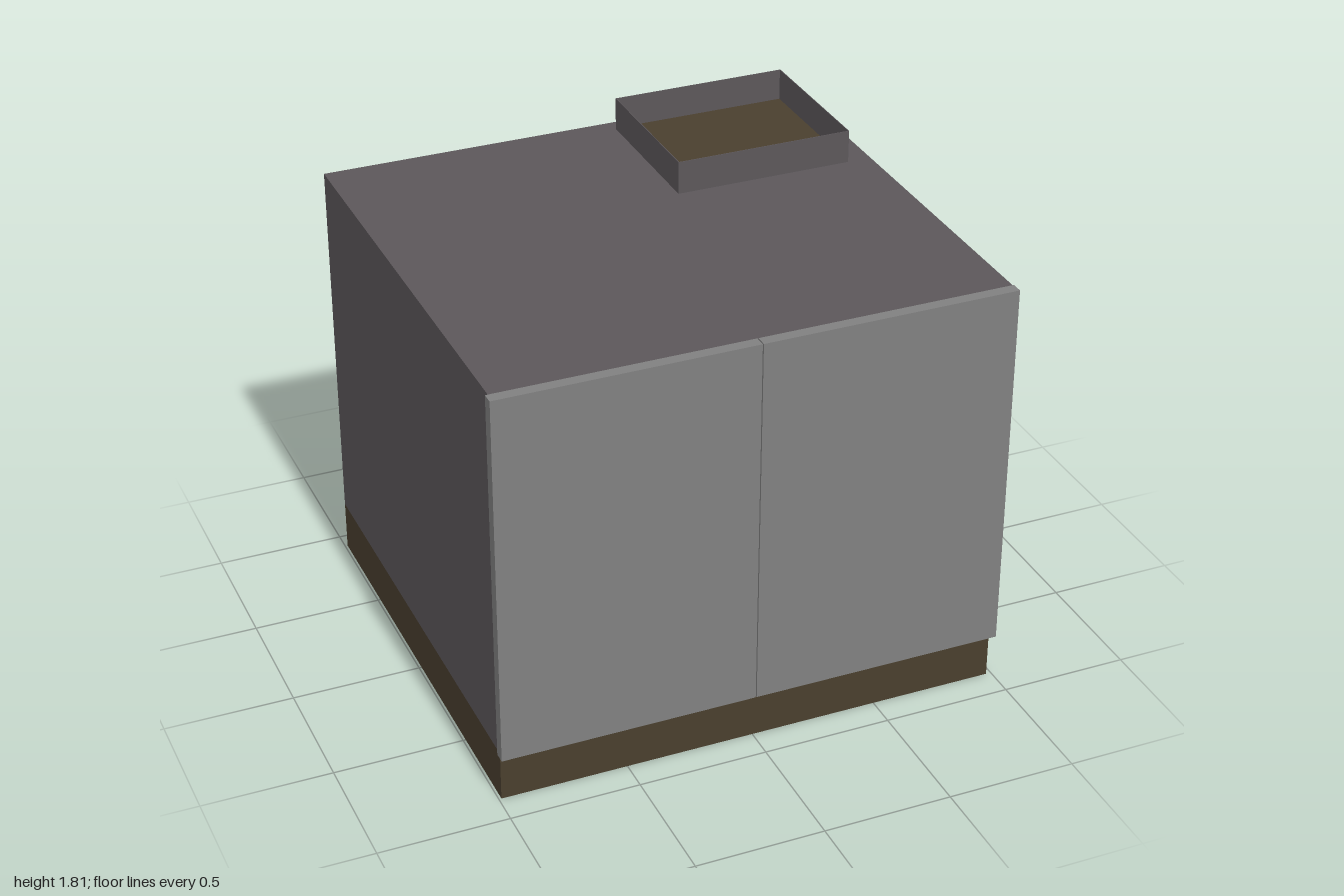
import * as THREE from 'three';

export function createModel() {
  const group = new THREE.Group();
  const shell = new THREE.MeshStandardMaterial({ color: 0x5c575a });
  const doorGrey = new THREE.MeshStandardMaterial({ color: 0x808080 });
  const brown = new THREE.MeshStandardMaterial({ color: 0x4a3f2e });

  // Box given by its extents on each axis
  function box(name, material, [x0, x1], [y0, y1], [z0, z1]) {
    const mesh = new THREE.Mesh(new THREE.BoxGeometry(x1 - x0, y1 - y0, z1 - z0), material);
    mesh.position.set((x0 + x1) / 2, (y0 + y1) / 2, (z0 + z1) / 2);
    mesh.name = name;
    group.add(mesh);
    return mesh;
  }

  // Plinth and cabinet body
  box('plinth', brown, [-0.99, 0.98], [0, 0.2], [-0.925, 0.88]);
  box('cabinet', shell, [-0.99, 0.98], [0.2, 1.68], [-0.925, 0.88]);

  // Pair of front doors, meeting in a fine seam
  box('rightDoor', doorGrey, [-1, -0.01], [0.2, 1.68], [0.88, 0.925]);
  box('leftDoor', doorGrey, [-0.006, 0.985], [0.2, 1.68], [0.88, 0.925]);

  // Plate on the left side
  box('sidePlate', brown, [0.98, 1], [0.8, 0.97], [-0.09, 0.2]);

  // Open duct collar on the roof: thin walls around a dark floor
  const x0 = 0.18, x1 = 0.885, z0 = -0.865, z1 = -0.245, t = 0.003;
  const height = [1.68, 1.81];
  for (const x of [x0, x1 - t]) box('collarSide', shell, [x, x + t], height, [z0, z1]);
  for (const z of [z0, z1 - t]) box('collarEnd', shell, [x0 + t, x1 - t], height, [z, z + t]);
  box('ductOpening', brown, [x0 + t, x1 - t], [1.68, 1.685], [z0 + t, z1 - t]);

  return group;
}
